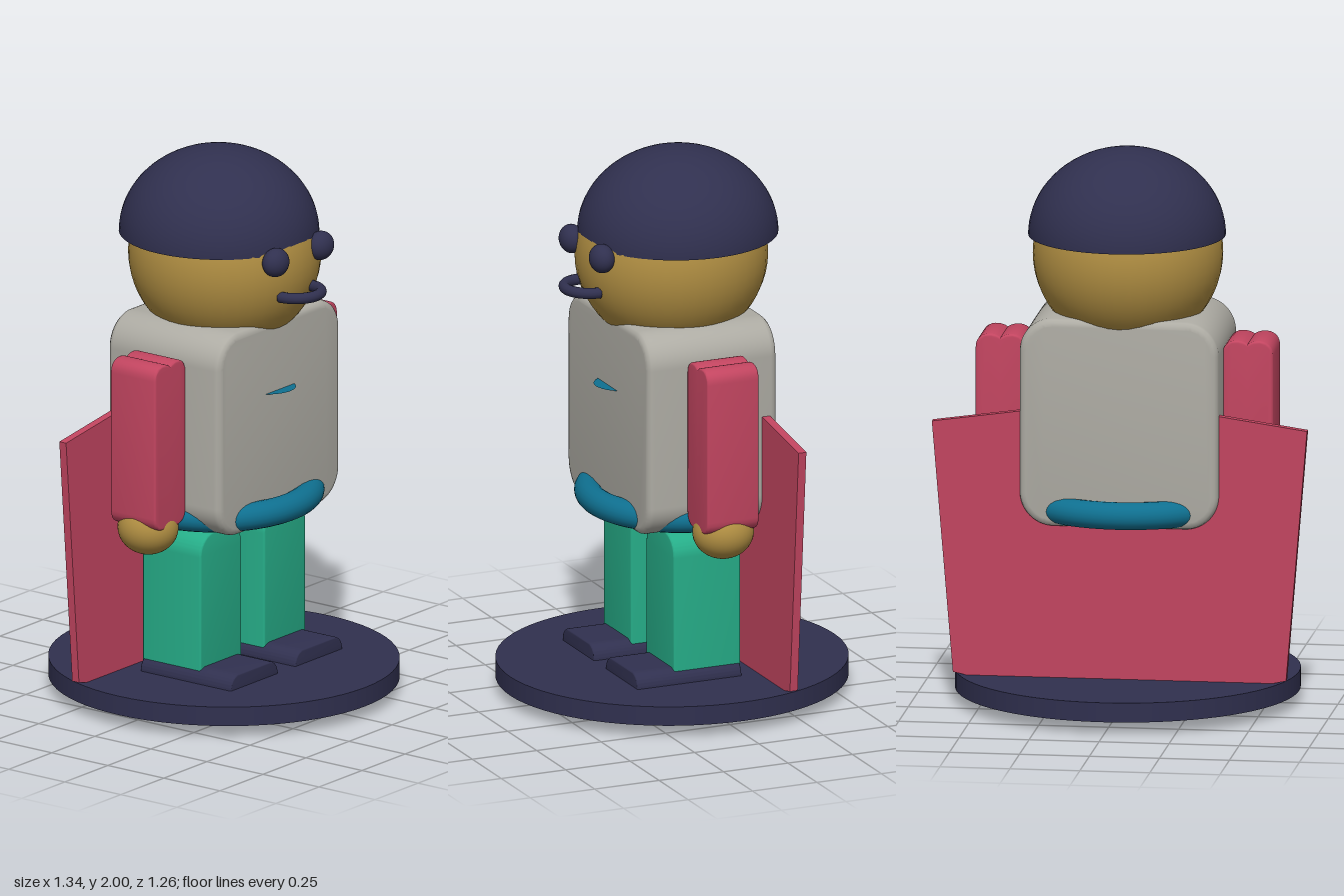
import * as THREE from 'three';
import { toCreasedNormals } from 'three/addons/utils/BufferGeometryUtils.js';

const paint = (name, color) => {
  const m = new THREE.MeshStandardMaterial({ color });
  m.name = name;
  return m;
};

// Rounded rectangle outline with separate top and bottom corner radii
function roundedRect(w, y0, y1, rTop, rBottom) {
  const s = new THREE.Shape(), h = w / 2;
  s.moveTo(-h + rBottom, y0);
  s.lineTo(h - rBottom, y0);
  if (rBottom) s.absarc(h - rBottom, y0 + rBottom, rBottom, -Math.PI / 2, 0);
  s.lineTo(h, y1 - rTop);
  s.absarc(h - rTop, y1 - rTop, rTop, 0, Math.PI / 2);
  s.lineTo(-h + rTop, y1);
  s.absarc(-h + rTop, y1 - rTop, rTop, Math.PI / 2, Math.PI);
  s.lineTo(-h, y0 + rBottom);
  if (rBottom) s.absarc(-h + rBottom, y0 + rBottom, rBottom, Math.PI, Math.PI * 1.5);
  return s;
}

// Extrusion from z0 to z1; the bevel stays inside the outline
function slab(shape, z0, z1, bevel = 0) {
  const g = new THREE.ExtrudeGeometry(shape, {
    depth: z1 - z0 - 2 * bevel, bevelEnabled: bevel > 0, bevelThickness: bevel,
    bevelSize: bevel, bevelOffset: -bevel, bevelSegments: 3, curveSegments: 10,
  });
  g.translate(0, 0, z0 + bevel);
  return toCreasedNormals(g, 0.6);
}

// Arm outline with a two-lobed top and bottom
function armShape() {
  const s = new THREE.Shape(), h = 0.09, y0 = 0.72, y1 = 1.33;
  s.moveTo(-h, y0 + 0.05);
  s.bezierCurveTo(-h, y0 - 0.005, -0.03, y0 - 0.01, 0, y0 + 0.012);
  s.bezierCurveTo(0.03, y0 - 0.01, h, y0 - 0.005, h, y0 + 0.05);
  s.lineTo(h, y1 - 0.05);
  s.bezierCurveTo(h, y1 + 0.005, 0.03, y1 + 0.01, 0, y1 - 0.012);
  s.bezierCurveTo(-0.03, y1 + 0.01, -h, y1 + 0.005, -h, y1 - 0.05);
  return s;
}

export function createModel() {
  const model = new THREE.Group();
  const navy = paint('navy', 0x30304f);
  const skin = paint('golden skin', 0xb08e42);
  const grey = paint('warm grey', 0xaeaca4);
  const red = paint('crimson', 0xc24560);
  const green = paint('green', 0x26ad88);
  const teal = paint('teal', 0x0f7090);

  const add = (name, geo, mat, x = 0, y = 0, z = 0, scale = [1, 1, 1]) => {
    const m = new THREE.Mesh(geo, mat);
    m.name = name;
    m.position.set(x, y, z);
    m.scale.set(...scale);
    model.add(m);
    return m;
  };
  const ball = new THREE.SphereGeometry(1, 40, 28);

  // Base and cape
  add('base', new THREE.CylinderGeometry(1, 1, 0.07, 72), navy, 0, 0.085, 0, [0.612, 1, 0.628]);
  const cape = new THREE.Shape([[0, 0.005], [0.595, 0.13], [0.67, 1.035], [0.355, 1.08],
    [-0.355, 1.08], [-0.67, 1.035], [-0.595, 0.13]].map(p => new THREE.Vector2(...p)));
  add('cape', slab(cape, -0.22, -0.19), red);

  // Torso with belt and the small chest tab
  add('torso', slab(roundedRect(0.71, 0.67, 1.42, 0.12, 0.12), -0.25, 0.25, 0.025), grey);
  const belt = new THREE.TorusGeometry(0.29, 0.049, 20, 64).rotateX(Math.PI / 2);
  add('belt', belt, teal, 0, 0.725, 0, [1.13, 1, 1]);
  add('chestTab', new THREE.CircleGeometry(0.1, 32).rotateX(-Math.PI / 2), teal, 0, 1.155, 0.195);

  // Head, cap and face
  add('head', ball, skin, 0, 1.62, 0.003, [0.337, 0.34, 0.345]);
  const dome = new THREE.SphereGeometry(1, 48, 20, 0, Math.PI * 2, 0, Math.PI / 2);
  navy.side = THREE.DoubleSide;
  add('cap', dome, navy, 0, 1.69, -0.022, [0.35, 0.31, 0.358]);
  const smile = new THREE.TorusGeometry(0.09, 0.02, 12, 32, Math.PI).rotateX(Math.PI / 2);
  add('mouth', smile, navy, 0, 1.53, 0.32);

  // Paired parts
  const arm = slab(armShape(), -0.1, 0.1, 0.008);
  const leg = slab(roundedRect(0.242, 0.14, 0.66, 0.08, 0), -0.13, 0.13, 0.008);
  const shoe = slab(roundedRect(0.275, 0.115, 0.173, 0.05, 0), -0.125, 0.28, 0.006);
  for (const [side, s] of [['left', 1], ['right', -1]]) {
    add(side + 'Eye', ball, navy, s * 0.13, 1.67, 0.331, [0.055, 0.052, 0.044]);
    add(side + 'Arm', arm, red, s * 0.441);
    add(side + 'Hand', ball, skin, s * 0.441, 0.705, 0, [0.105, 0.097, 0.11]);
    add(side + 'Leg', leg, green, s * 0.185);
    add(side + 'Shoe', shoe, navy, s * 0.187);
  }
  return model;
}
